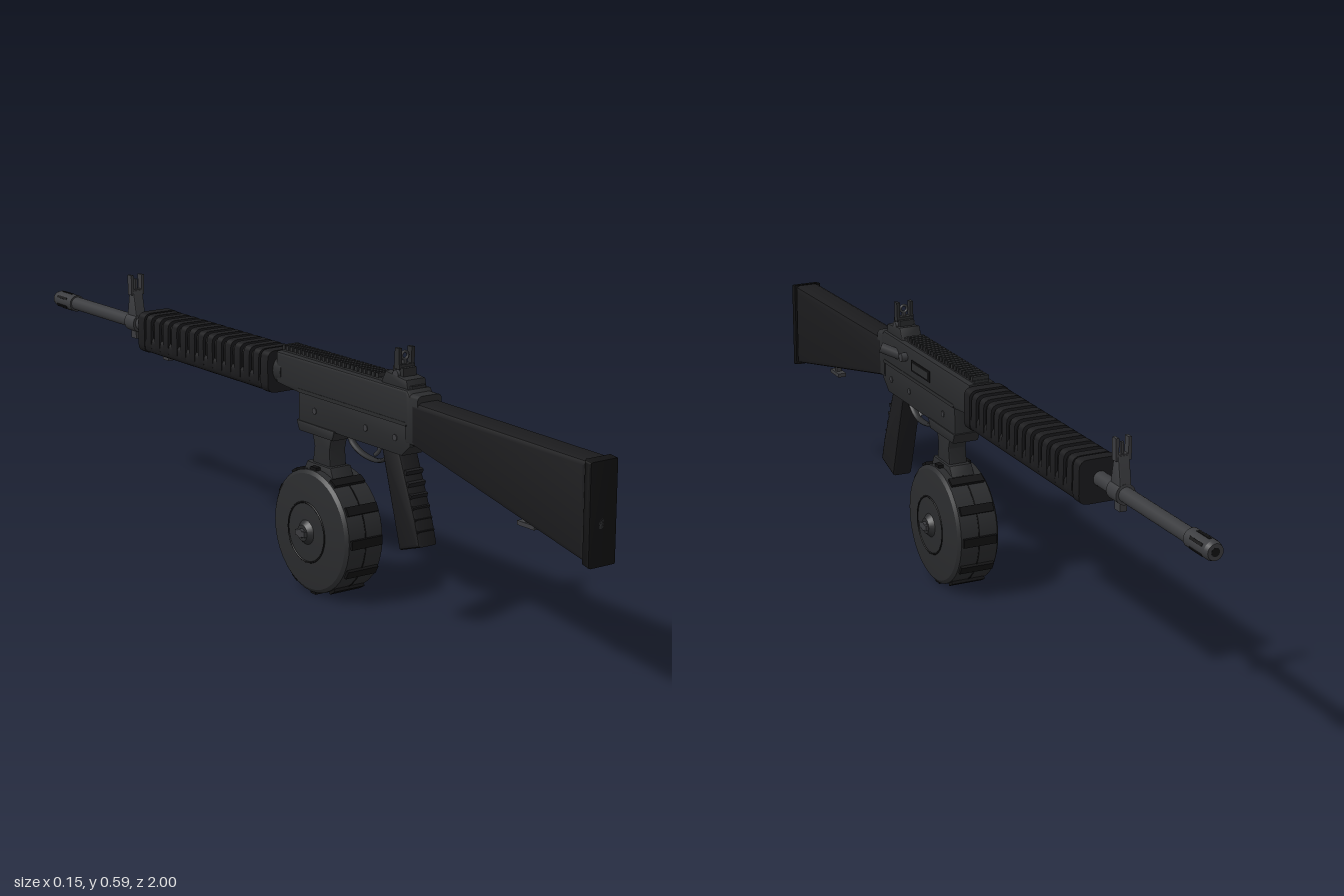
import * as THREE from 'three';
import { toCreasedNormals } from 'three/addons/utils/BufferGeometryUtils.js';

const mat = (color) => new THREE.MeshStandardMaterial({ color });
const polymer = mat(0x1b1b1d), body = mat(0x2a2b2d), steel = mat(0x3a3b3e), dark = mat(0x111112);

export function createModel() {
  const model = new THREE.Group();
  const add = (name, geo, material, x = 0, y = 0, z = 0, parent = model) => {
    const m = new THREE.Mesh(geo, material);
    m.name = name;
    m.position.set(x, y, z);
    parent.add(m);
    return m;
  };
  // box given by its extents in z and y, centred on x
  const box = (name, material, halfW, y0, y1, z0, z1, x = 0) =>
    add(name, new THREE.BoxGeometry(halfW * 2, y1 - y0, Math.abs(z1 - z0)), material, x, (y0 + y1) / 2, (z0 + z1) / 2);
  // side profile of [z, y] points, extruded across x with a bevel
  const slab = (name, material, pts, halfW, bevel = 0.004) => {
    const geo = new THREE.ExtrudeGeometry(new THREE.Shape(pts.map((p) => new THREE.Vector2(...p))), {
      depth: 2 * (halfW - bevel), bevelThickness: bevel, bevelSize: bevel, bevelOffset: -bevel, bevelSegments: 2,
    });
    geo.translate(0, 0, -(halfW - bevel)).rotateY(-Math.PI / 2);
    return add(name, toCreasedNormals(geo, 0.5), material);
  };
  // rounded cross-section run along z
  const bar = (name, material, halfW, y0, y1, r, z0, z1) => {
    const s = new THREE.Shape();
    s.moveTo(-halfW + r, y0).lineTo(halfW - r, y0).quadraticCurveTo(halfW, y0, halfW, y0 + r);
    s.lineTo(halfW, y1 - r).quadraticCurveTo(halfW, y1, halfW - r, y1);
    s.lineTo(-halfW + r, y1).quadraticCurveTo(-halfW, y1, -halfW, y1 - r);
    s.lineTo(-halfW, y0 + r).quadraticCurveTo(-halfW, y0, -halfW + r, y0);
    const lo = Math.min(z0, z1);
    const geo = new THREE.ExtrudeGeometry(s, { depth: Math.abs(z1 - z0), bevelEnabled: false, curveSegments: 4 });
    return add(name, toCreasedNormals(geo, 0.6), material, 0, 0, lo);
  };
  const rodZ = (name, material, r, y, z0, z1, r2 = r) =>
    add(name, new THREE.CylinderGeometry(r, r2, Math.abs(z1 - z0), 24).rotateX(Math.PI / 2), material, 0, y, (z0 + z1) / 2);
  const rodX = (name, material, r, x0, x1, y, z, rOuter = r) =>
    add(name, new THREE.CylinderGeometry(r, rOuter, x1 - x0, 20).rotateZ(Math.PI / 2), material, (x0 + x1) / 2, y, z);

  // Stock, butt pad and sling swivel
  slab('stock', polymer, [[0.45, 0.4], [0.985, 0.282], [0.985, 0.483], [0.45, 0.492]], 0.032, 0.012);
  slab('buttPad', dark, [[0.98, 0.28], [1, 0.275], [1, 0.482], [0.98, 0.485]], 0.035, 0.005);
  bar('stockCollar', body, 0.031, 0.398, 0.505, 0.012, 0.435, 0.475);
  box('stockSwivel', steel, 0.01, 0.303, 0.312, 0.765, 0.815);
  box('swivelPost', steel, 0.006, 0.31, 0.335, 0.785, 0.795);
  box('buttPlateLatch', steel, 0.01, 0.35, 0.39, 0.99, 1);

  // Receiver
  slab('upperReceiver', body, [[0.45, 0.435], [0.45, 0.5], [0.44, 0.512], [-0.02, 0.512], [-0.02, 0.442], [0.05, 0.435]], 0.032, 0.006);
  slab('lowerReceiver', body, [[0.45, 0.445], [0.45, 0.395], [0.42, 0.37], [0.06, 0.37], [0.06, 0.445]], 0.029);
  box('receiverRidge', body, 0.033, 0.437, 0.445, 0.06, 0.44);
  box('topRail', body, 0.018, 0.51, 0.518, -0.015, 0.44);
  for (let i = 0; i < 24; i++) {
    const z = -0.008 + i * 0.0145;
    box('railTooth', body, 0.02, 0.516, 0.526, z - 0.0045, z + 0.0045);
  }
  box('ejectionPort', dark, 0.001, 0.46, 0.486, 0.18, 0.28, 0.0325);
  box('portCover', body, 0.002, 0.464, 0.482, 0.187, 0.273, 0.033);
  for (const z of [0.12, 0.3, 0.4]) rodX('receiverPin', steel, 0.007, -0.031, 0.031, 0.405, z);
  rodX('boltAssist', steel, 0.01, 0.03, 0.046, 0.485, 0.31);
  const handle = add('chargingHandle', new THREE.CylinderGeometry(0.012, 0.012, 0.05, 16), steel, 0.043, 0.483, 0.37);
  handle.quaternion.setFromUnitVectors(new THREE.Vector3(0, 1, 0), new THREE.Vector3(0.8, 0.35, 0.45).normalize());

  // Pistol grip with finger ridges on its forward edge
  slab('pistolGrip', polymer, [[0.345, 0.38], [0.41, 0.165], [0.478, 0.187], [0.462, 0.24], [0.405, 0.38]], 0.025, 0.008);
  for (let i = 0; i < 6; i++) {
    const t = 0.15 + i * 0.14;
    const rib = add('gripRidge', new THREE.BoxGeometry(0.044, 0.009, 0.008), polymer, 0, 0.36 - 0.17 * t, 0.418 + 0.055 * t);
    rib.rotation.x = 0.3;
  }

  // Trigger and guard
  const guard = new THREE.CatmullRomCurve3([[0.37, 0.385], [0.345, 0.35], [0.31, 0.332], [0.25, 0.336], [0.215, 0.355], [0.205, 0.375]]
    .map(([z, y]) => new THREE.Vector3(0, y, z)));
  const guardGeo = new THREE.TubeGeometry(guard, 24, 0.0045, 8);
  add('triggerGuard', guardGeo.scale(2, 1, 1), body);
  const trigger = new THREE.QuadraticBezierCurve3(
    new THREE.Vector3(0, 0.375, 0.305), new THREE.Vector3(0, 0.355, 0.32), new THREE.Vector3(0, 0.342, 0.295));
  add('trigger', new THREE.TubeGeometry(trigger, 10, 0.0045, 8), steel);

  // Magazine well and neck
  slab('magazineWell', body, [[0.195, 0.375], [0.185, 0.352], [0.065, 0.352], [0.055, 0.375]], 0.032);
  slab('magazineNeck', body, [[0.172, 0.36], [0.163, 0.325], [0.168, 0.265], [0.098, 0.265], [0.108, 0.325], [0.098, 0.36]], 0.022);
  slab('neckFoot', body, [[0.175, 0.29], [0.19, 0.255], [0.07, 0.255], [0.09, 0.29]], 0.028);

  // Drum magazine
  const drum = new THREE.Group();
  drum.name = 'drumMagazine';
  drum.position.set(0, 0.143, 0.13);
  model.add(drum);
  const profile = [[0, -0.058], [0.075, -0.058], [0.128, -0.05], [0.136, -0.044], [0.136, 0.044], [0.128, 0.05], [0.075, 0.058], [0, 0.058]];
  const shell = new THREE.LatheGeometry(profile.map((p) => new THREE.Vector2(...p)), 36).rotateZ(Math.PI / 2);
  add('drumShell', toCreasedNormals(shell, 0.3), body, 0, 0, 0, drum);
  for (let i = 0; i < 12; i++) {
    const a = (i * Math.PI) / 6;
    const rib = add('drumRib', new THREE.BoxGeometry(0.08, 0.012, 0.02), dark, 0, Math.sin(a) * 0.136, Math.cos(a) * 0.136, drum);
    rib.rotation.x = Math.PI / 2 - a;
  }
  add('drumSeam', new THREE.CylinderGeometry(0.137, 0.137, 0.003, 36).rotateZ(Math.PI / 2), dark, 0, 0, 0, drum);
  for (const s of [-1, 1]) {
    const side = new THREE.Group();
    side.name = s > 0 ? 'leftDrumHub' : 'rightDrumHub';
    side.rotation.y = s > 0 ? 0 : Math.PI;
    drum.add(side);
    add('faceRing', new THREE.TorusGeometry(0.066, 0.002, 8, 40).rotateY(Math.PI / 2), dark, 0.058, 0, 0, side);
    add('hubCone', new THREE.CylinderGeometry(0.028, 0.018, 0.012, 24).rotateZ(Math.PI / 2), body, 0.063, 0, 0, side);
    add('hubKey', new THREE.BoxGeometry(0.012, 0.012, 0.034), steel, 0.07, 0, 0, side);
    add('hubPin', new THREE.CylinderGeometry(0.01, 0.01, 0.012, 16).rotateZ(Math.PI / 2), steel, 0.07, 0, 0, side);
  }

  // Handguard: core, end caps, cooling ribs and lower shell
  bar('handguardCore', dark, 0.041, 0.424, 0.503, 0.018, -0.03, -0.55);
  bar('handguardRearCap', polymer, 0.048, 0.417, 0.511, 0.02, -0.028, -0.055);
  bar('handguardFrontCap', polymer, 0.048, 0.417, 0.511, 0.02, -0.53, -0.556);
  bar('handguardLowerShell', polymer, 0.046, 0.419, 0.46, 0.016, -0.05, -0.54);
  for (let i = 0; i < 13; i++) {
    const z = -0.075 - i * 0.0365;
    bar('handguardRib', polymer, 0.047, 0.421, 0.51, 0.02, z + 0.011, z - 0.011);
  }
  rodZ('barrelNut', body, 0.035, 0.468, 0, -0.04);
  box('handguardSwivel', steel, 0.009, 0.402, 0.42, -0.488, -0.512);

  // Barrel and slotted muzzle
  rodZ('barrel', steel, 0.016, 0.468, -0.54, -0.95);
  rodZ('muzzleDevice', steel, 0.02, 0.468, -0.915, -0.99);
  rodZ('muzzleLip', steel, 0.02, 0.468, -0.99, -1, 0.017);
  rodZ('bore', dark, 0.009, 0.468, -0.99, -1.0005);
  for (let i = 0; i < 6; i++) {
    const a = (i * Math.PI) / 3 + Math.PI / 6;
    const slot = add('muzzleSlot', new THREE.BoxGeometry(0.006, 0.004, 0.045), dark, Math.cos(a) * 0.019, 0.468 + Math.sin(a) * 0.019, -0.958);
    slot.rotation.z = a - Math.PI / 2;
  }

  // Front sight
  rodZ('frontSightBand', steel, 0.022, 0.468, -0.62, -0.66);
  box('frontSightLug', steel, 0.008, 0.43, 0.455, -0.63, -0.652);
  slab('frontSightTower', steel, [[-0.618, 0.475], [-0.662, 0.475], [-0.65, 0.545], [-0.632, 0.545]], 0.013, 0.003);
  box('frontSightPost', steel, 0.003, 0.54, 0.572, -0.638, -0.644);
  for (const s of [-1, 1]) box('frontSightEar', steel, 0.0035, 0.535, 0.582, -0.633, -0.649, s * 0.014);
  box('frontSightBridge', steel, 0.0175, 0.535, 0.548, -0.633, -0.649);

  // Rear sight with aperture between two ears
  slab('rearSightBase', body, [[0.435, 0.51], [0.43, 0.53], [0.36, 0.538], [0.345, 0.51]], 0.025, 0.003);
  box('rearSightBody', body, 0.017, 0.53, 0.55, 0.375, 0.41);
  box('rearSightBridge', body, 0.02, 0.546, 0.556, 0.383, 0.401);
  for (const s of [-1, 1]) box('rearSightEar', body, 0.004, 0.55, 0.59, 0.385, 0.399, s * 0.0165);
  add('rearSightAperture', new THREE.TorusGeometry(0.008, 0.003, 8, 20), steel, 0, 0.573, 0.392);
  box('apertureStem', steel, 0.004, 0.552, 0.566, 0.389, 0.395);
  rodX('elevationKnob', steel, 0.009, -0.024, 0.024, 0.536, 0.392);
  return model;
}
